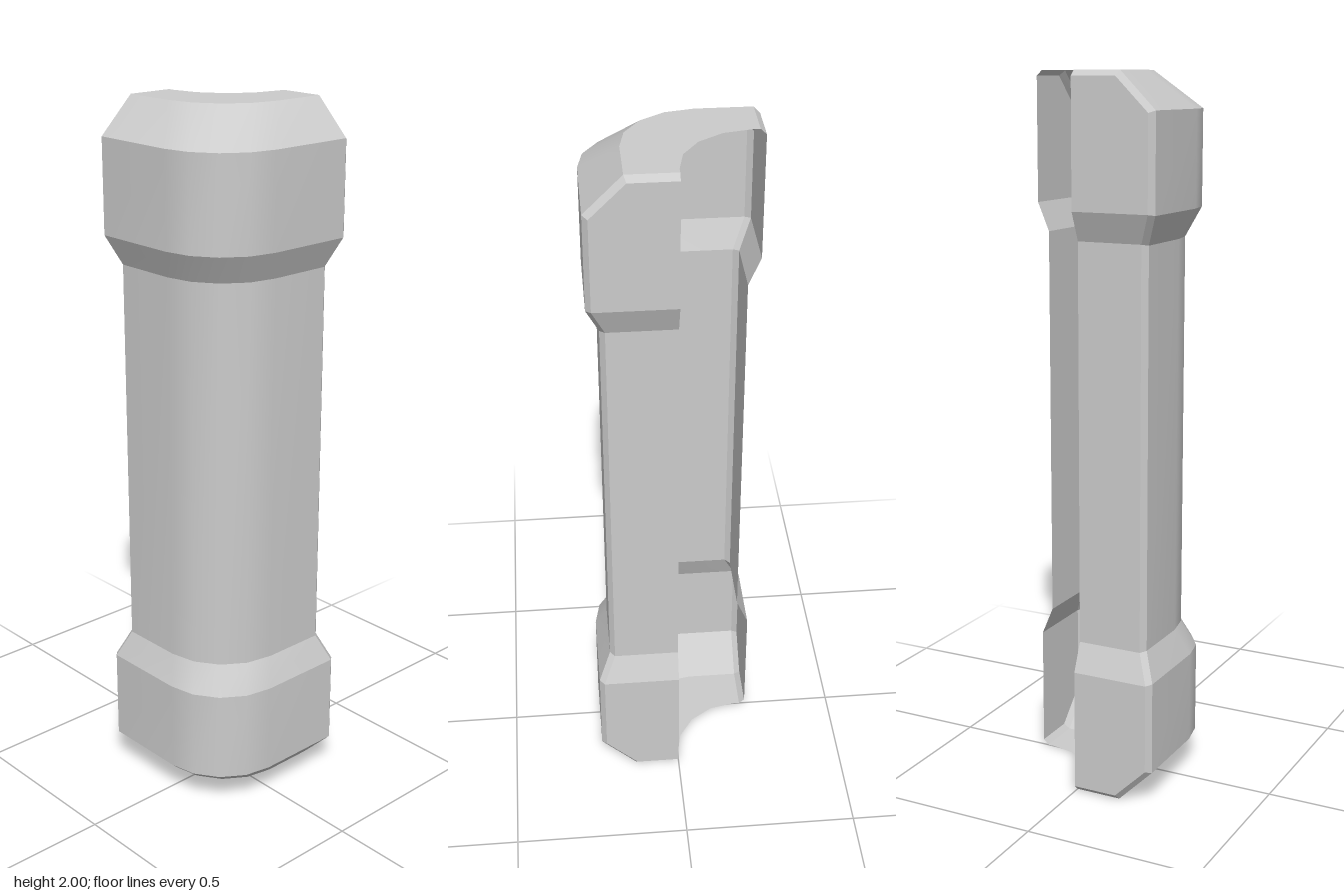
import * as THREE from 'three';
import { mergeGeometries } from 'three/addons/utils/BufferGeometryUtils.js';

// Upper half of the vertical profile: wall offset p, height y, wall end e,
// then offset and height of the end plate's outline, inset by the bevel
const UPPER = [
  { p: 0, y: 2, e: 0.234, pi: 0, yi: 1.985 },
  { p: 0.133, y: 2, e: 0.234, pi: 0.127, yi: 1.985 },
  { p: 0.234, y: 1.9, e: 0.234, pi: 0.22, yi: 1.894 },
  { p: 0.234, y: 1.637, e: 0.234, pi: 0.22, yi: 1.64 },
  { p: 0.2, y: 1.557, e: 0.2, pi: 0.186, yi: 1.56 },
];
const LOWER = UPPER.map((l) => ({ ...l, y: 2 - l.y, yi: 2 - l.yi })).reverse();
const LEVELS = [...UPPER, ...LOWER];
const BEVEL = 0.016;
const RADIUS = 0.2;
const STEPS = 4;

// Rounded corner plan, shifted diagonally outwards by the level's offset
function skinRow({ p, y, e }) {
  const row = [[-p, y, -(e - BEVEL)]];
  for (let i = 0; i <= STEPS; i++) {
    const a = (i / STEPS) * Math.PI / 2;
    row.push([RADIUS * (1 - Math.cos(a)) - p, y, -RADIUS * (1 - Math.sin(a)) + p]);
  }
  row.push([e - BEVEL, y, p]);
  return row;
}

// One strip of quads per pair of rows: smooth along a row, sharp between rows
function strips(rows) {
  const parts = [];
  for (let r = 0; r < rows.length - 1; r++) {
    const n = rows[r].length;
    const index = [];
    for (let c = 0; c < n - 1; c++) {
      index.push(c, n + c, c + 1, c + 1, n + c, n + c + 1);
    }
    const g = new THREE.BufferGeometry();
    g.setAttribute('position', new THREE.Float32BufferAttribute([...rows[r], ...rows[r + 1]].flat(), 3));
    g.setIndex(index);
    g.computeVertexNormals();
    parts.push(g);
  }
  return mergeGeometries(parts);
}

export function createModel() {
  const group = new THREE.Group();
  group.name = 'cornerGuard';
  const material = new THREE.MeshStandardMaterial({ color: 0xcccccc, side: THREE.DoubleSide });

  const add = (name, rows) => {
    const mesh = new THREE.Mesh(strips(rows), material);
    mesh.name = name;
    group.add(mesh);
  };

  // Outer shell with caps, chamfers and thicker collars; open on the inner side
  add('cornerShell', LEVELS.map(skinRow));

  // Bevel and flat plate closing the wall end on the left
  add('leftBevel', LEVELS.map((l) => [[l.e - BEVEL, l.y, l.p], [l.e, l.yi, l.pi]]));
  add('leftEndPlate', LEVELS.map((l) => [[l.e, l.yi, l.pi], [l.e, l.yi, 0]]));

  // The same at the back end, mirrored across the diagonal
  add('backBevel', LEVELS.map((l) => [[-l.pi, l.yi, -l.e], [-l.p, l.y, -(l.e - BEVEL)]]));
  add('backEndPlate', LEVELS.map((l) => [[0, l.yi, -l.e], [-l.pi, l.yi, -l.e]]));

  return group;
}
